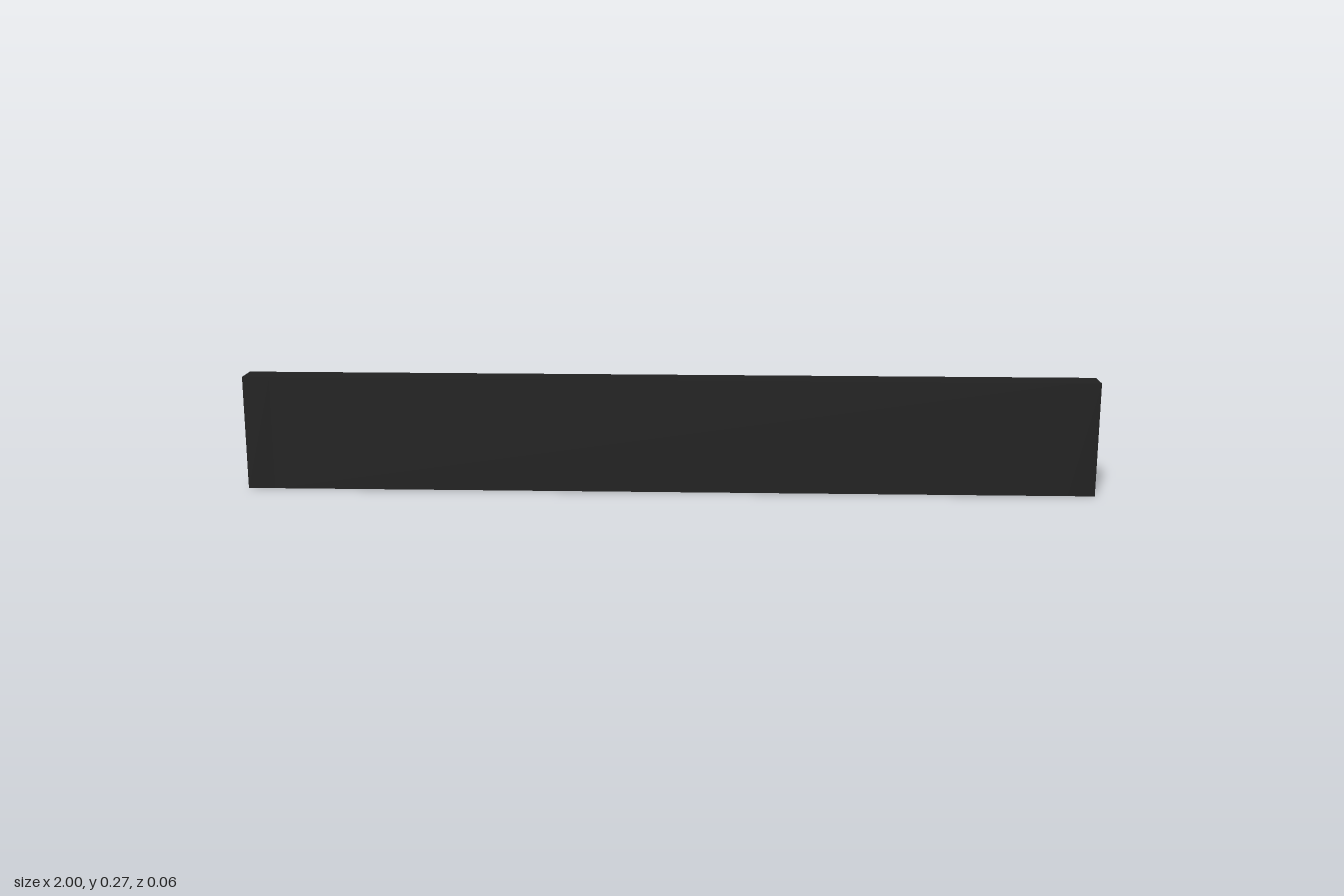
import * as THREE from 'three';

const HEIGHT = 0.27, HALF_DEPTH = 0.032, HALF_LENGTH = 1, SOCKET_LENGTH = 0.064;

// Cross-section of the board: a plain rectangle whose back edge is cut by the given notches.
// Shape x points to the back (-z), shape y points up.
function boardProfile(notches) {
  const shape = new THREE.Shape();
  shape.moveTo(-HALF_DEPTH, 0);
  shape.lineTo(HALF_DEPTH, 0);
  for (const { y, mouth, floor, bottom } of notches) {
    shape.lineTo(HALF_DEPTH, y - mouth);
    shape.lineTo(bottom, y - floor);
    shape.lineTo(bottom, y + floor);
    shape.lineTo(HALF_DEPTH, y + mouth);
  }
  shape.lineTo(HALF_DEPTH, HEIGHT);
  shape.lineTo(-HALF_DEPTH, HEIGHT);
  shape.closePath();
  return shape;
}

// Runs a profile along x from x0 to x1.
function section(name, profile, x0, x1, material) {
  const geometry = new THREE.ExtrudeGeometry(profile, { depth: x1 - x0, bevelEnabled: false });
  geometry.rotateY(Math.PI / 2).translate(x0, 0, 0);
  const mesh = new THREE.Mesh(geometry, material);
  mesh.name = name;
  return mesh;
}

export function createModel() {
  const group = new THREE.Group();
  group.name = 'drawerFront';
  const black = new THREE.MeshStandardMaterial({ color: 0x222222 });
  black.name = 'black';

  // Long middle with the groove for the drawer bottom
  const groove = [{ y: 0.046, mouth: 0.01, floor: 0.01, bottom: 0 }];
  const inner = HALF_LENGTH - SOCKET_LENGTH;
  group.add(section('groovedBoard', boardProfile(groove), -inner, inner, black));

  // Ends with three half-blind dovetail sockets, open to the back and to the end
  const sockets = [0.045, 0.135, 0.225].map((y) => ({ y, mouth: 0.018, floor: 0.0275, bottom: -0.0135 }));
  const endProfile = boardProfile(sockets);
  group.add(section('leftDovetailEnd', endProfile, inner, HALF_LENGTH, black));
  group.add(section('rightDovetailEnd', endProfile, -HALF_LENGTH, -inner, black));

  return group;
}
